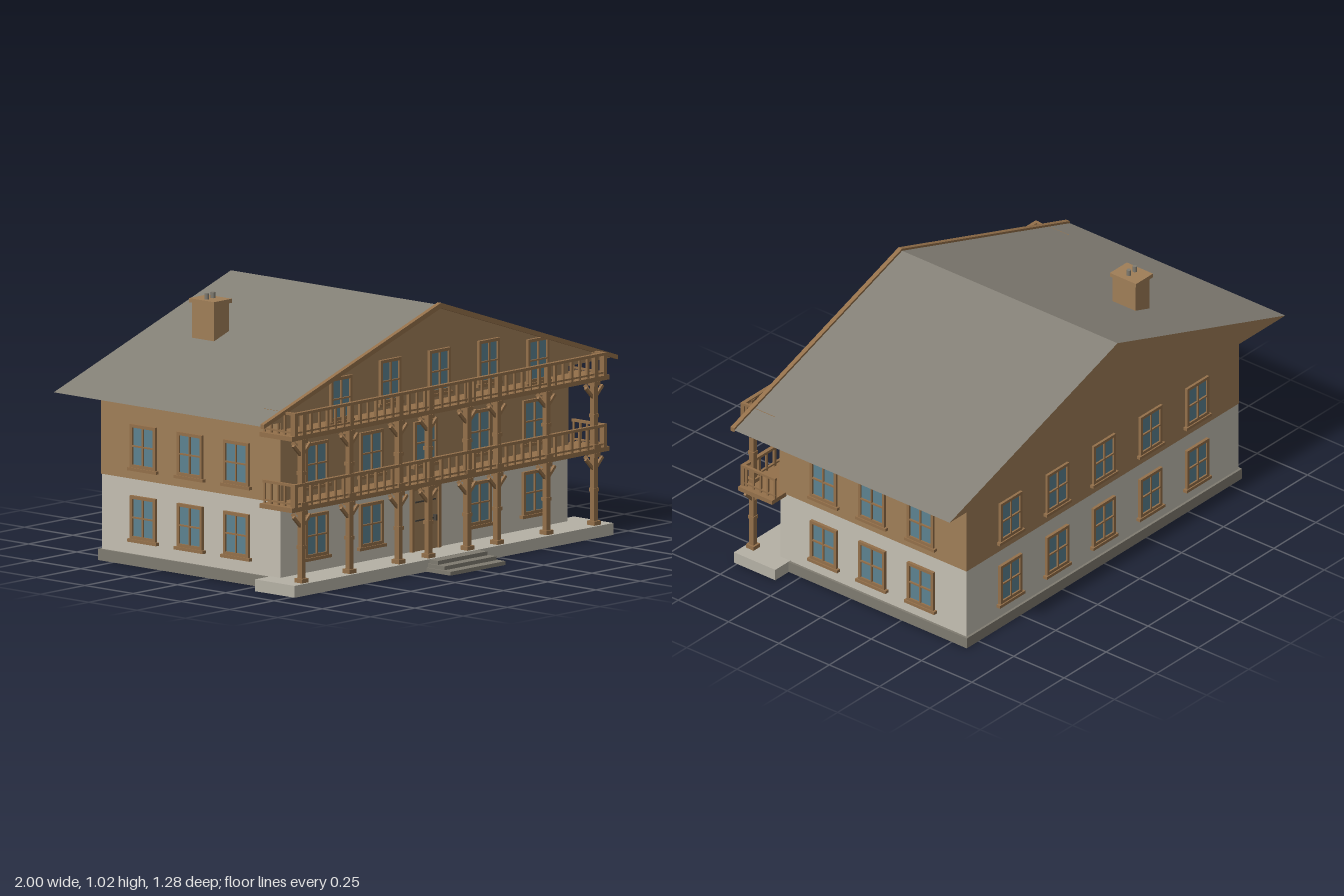
import * as THREE from 'three';

const mat = (name, color) => {
  const m = new THREE.MeshStandardMaterial({ color });
  m.name = name;
  return m;
};

export function createModel() {
  const root = new THREE.Group();
  root.name = 'chalet';
  const wood = mat('wood', 0xa07e57);
  const trim = mat('trim wood', 0x94704a);
  const plaster = mat('plaster', 0xc4bfb2);
  const roofGrey = mat('roof slate', 0x837f75);
  const stone = mat('foundation stone', 0x7f7b70);
  const paving = mat('porch paving', 0xb5b1a5);
  const glass = mat('window glass', 0x5c8290);
  const dark = mat('dark metal', 0x4a453e);

  const group = (name, parent = root) => {
    const g = new THREE.Group();
    g.name = name;
    parent.add(g);
    return g;
  };
  // Box given by its extents on each axis
  const box = (name, m, x0, x1, y0, y1, z0, z1, parent = root) => {
    const mesh = new THREE.Mesh(new THREE.BoxGeometry(x1 - x0, y1 - y0, z1 - z0), m);
    mesh.position.set((x0 + x1) / 2, (y0 + y1) / 2, (z0 + z1) / 2);
    mesh.name = name;
    parent.add(mesh);
    return mesh;
  };

  // Ground works and walls
  box('foundation', stone, -0.82, 0.82, 0, 0.044, -0.575, 0.32);
  box('porchFloor', paving, -0.9, 0.9, 0, 0.046, 0.31, 0.515);
  for (let i = 0; i < 3; i++) {
    const w = 0.155 - i * 0.008;
    box('step', stone, -w, w, i * 0.015, (i + 1) * 0.015, 0.515, 0.64 - i * 0.04);
  }
  box('lowerWalls', plaster, -0.81, 0.81, 0.044, 0.335, -0.565, 0.36);
  box('upperWalls', wood, -0.812, 0.812, 0.335, 0.668, -0.567, 0.362);

  // Closed roof prism with timber gables
  const eave = 0.667, ridge = 1.005, front = 0.432;
  const gable = new THREE.Shape([[-1, eave], [1, eave], [0, ridge]].map(p => new THREE.Vector2(...p)));
  const roof = new THREE.Mesh(
    new THREE.ExtrudeGeometry(gable, { depth: front + 0.64, bevelEnabled: false }), [wood, roofGrey]);
  roof.position.z = -0.64;
  roof.name = 'roof';
  root.add(roof);

  // Barge boards along the front slopes
  const verge = new THREE.Shape([[-1, eave - 0.008], [0, ridge - 0.012], [1, eave - 0.008],
    [1, eave + 0.009], [0, ridge + 0.009], [-1, eave + 0.009]].map(p => new THREE.Vector2(...p)));
  const barge = new THREE.Mesh(
    new THREE.ExtrudeGeometry(verge, { depth: 0.018, bevelEnabled: false }), trim);
  barge.position.z = 0.43;
  barge.name = 'bargeBoards';
  root.add(barge);

  // Windows: four-pane frame, glass plate and sill
  const rect = (T, x0, x1, y0, y1) => new T([[x0, y0], [x1, y0], [x1, y1], [x0, y1]]
    .map(p => new THREE.Vector2(...p)));
  const frameGeometry = (w, h) => {
    const s = rect(THREE.Shape, -w / 2, w / 2, -h / 2, h / 2);
    const e = 0.012, b = 0.003;
    for (const [x0, x1] of [[e - w / 2, -b], [b, w / 2 - e]])
      for (const [y0, y1] of [[e - h / 2, -b], [b, h / 2 - e]])
        s.holes.push(rect(THREE.Path, x0, x1, y0, y1));
    return new THREE.ExtrudeGeometry(s, { depth: 0.013, bevelEnabled: false });
  };
  const standard = frameGeometry(0.13, 0.168), small = frameGeometry(0.118, 0.168);
  const addWindow = (x, y, z, angle, geo = standard, w = 0.13) => {
    const g = group('window');
    const f = new THREE.Mesh(geo, trim);
    f.name = 'windowFrame';
    g.add(f);
    box('windowGlass', glass, 0.008 - w / 2, w / 2 - 0.008, -0.077, 0.077, 0, 0.006, g);
    box('windowSill', trim, -w / 2 - 0.01, w / 2 + 0.01, -0.096, -0.084, 0, 0.018, g);
    g.position.set(x, y, z);
    g.rotation.y = angle;
  };
  for (const y of [0.188, 0.465]) {
    for (const x of [-0.615, -0.305, 0.305, 0.615]) addWindow(x, y, 0.36, 0);
    for (let i = -2; i <= 2; i++) addWindow(i * 0.278, y, -0.565, Math.PI);
    for (const z of [0.138, -0.102, -0.344]) {
      addWindow(0.81, y, z, Math.PI / 2);
      addWindow(-0.81, y, z, -Math.PI / 2);
    }
  }
  addWindow(0, 0.465, 0.36, 0);
  for (let i = -2; i <= 2; i++)
    addWindow(i * 0.278, Math.abs(i) === 2 ? 0.718 : 0.75, front, 0, small, 0.118);

  // Front door
  const door = group('door');
  box('doorLeaf', wood, -0.07, 0.07, 0.046, 0.285, 0.355, 0.367, door);
  for (const s of [-1, 1]) box('doorJamb', trim, s * 0.075 - 0.007, s * 0.075 + 0.007, 0.046, 0.295, 0.355, 0.374, door);
  box('doorLintel', trim, -0.082, 0.082, 0.283, 0.297, 0.355, 0.375, door);
  for (const y of [0.165, 0.237]) box('doorHinge', dark, -0.058, 0.055, y - 0.003, y + 0.003, 0.365, 0.37, door);
  box('doorHandle', dark, 0.044, 0.052, 0.155, 0.178, 0.365, 0.382, door);

  // Veranda posts with knee braces
  const postX = [0.825, 0.556, 0.278, 0.11].flatMap(x => [-x, x]);
  const postZ = 0.483;
  const brace = (x, y, z, turn, parent) => {
    const m = new THREE.Mesh(new THREE.BoxGeometry(0.011, 0.066, 0.011), trim);
    const arm = group('kneeBrace', parent);
    m.position.set(0.024, y - 0.032, 0);
    m.rotation.z = -Math.PI / 4;
    m.name = 'brace';
    arm.add(m);
    arm.position.set(x, 0, z);
    arm.rotation.y = turn;
  };
  const addPost = (x, y0, y1) => {
    const g = group('verandaPost');
    const square = (name, r, a, b) => box(name, trim, x - r, x + r, a, b, postZ - r, postZ + r, g);
    const mid = y0 + (y1 - y0) * 0.49;
    square('shaft', 0.011, y0, y1);
    square('base', 0.019, y0, y0 + 0.016);
    square('collar', 0.014, mid - 0.007, mid + 0.007);
    square('capital', 0.017, y1 - 0.016, y1);
    for (const a of [0, Math.PI, Math.PI / 2]) brace(x, y1 - 0.012, postZ, a, g);
  };
  for (const x of postX) {
    addPost(x, 0.046, 0.325);
    addPost(x, 0.343, 0.602);
  }

  // Two balconies with balustrades
  for (const y of [0.325, 0.602]) {
    const g = group('balcony');
    const top = y + 0.107;
    box('balconyFloor', trim, -0.895, 0.895, y, y + 0.018, 0.33, 0.498, g);
    box('frontTopRail', trim, -0.88, 0.88, top - 0.011, top, 0.483, 0.499, g);
    box('frontLowRail', trim, -0.875, 0.875, y + 0.026, y + 0.033, 0.486, 0.496, g);
    const n = 38;
    for (let i = 0; i <= n; i++) {
      const x = -0.872 + (1.744 * i) / n;
      const r = i % 2 ? 0.004 : 0.0055;
      box('baluster', trim, x - r, x + r, y + 0.018, top - 0.01, 0.491 - r, 0.491 + r, g);
    }
    for (const x of postX)
      box('railPost', trim, x - 0.01, x + 0.01, y + 0.018, top - 0.005, 0.48, 0.498, g);
    for (const s of [-1, 1]) {
      const x = s * 0.872;
      box('sideTopRail', trim, x - 0.006, x + 0.006, top - 0.01, top, 0.33, 0.495, g);
      box('sideLowRail', trim, x - 0.004, x + 0.004, y + 0.026, y + 0.033, 0.33, 0.495, g);
      box('cornerPost', trim, x - 0.008, x + 0.008, y + 0.018, top, 0.483, 0.499, g);
      for (let z = 0.335; z < 0.48; z += 0.035)
        box('sideBaluster', trim, x - 0.004, x + 0.004, y + 0.018, top - 0.008, z - 0.004, z + 0.004, g);
    }
  }

  // Chimney with two pots
  const chimney = group('chimney');
  box('chimneyStack', wood, -0.488, -0.402, 0.8, 0.978, -0.393, -0.28, chimney);
  box('chimneyCap', wood, -0.497, -0.4 + 0.004, 0.978, 0.994, -0.402, -0.272, chimney);
  for (const x of [-0.467, -0.431]) {
    const pot = new THREE.Mesh(new THREE.CylinderGeometry(0.009, 0.009, 0.024, 10), stone);
    pot.position.set(x, 1.005, -0.337);
    pot.name = 'chimneyPot';
    chimney.add(pot);
  }
  return root;
}
